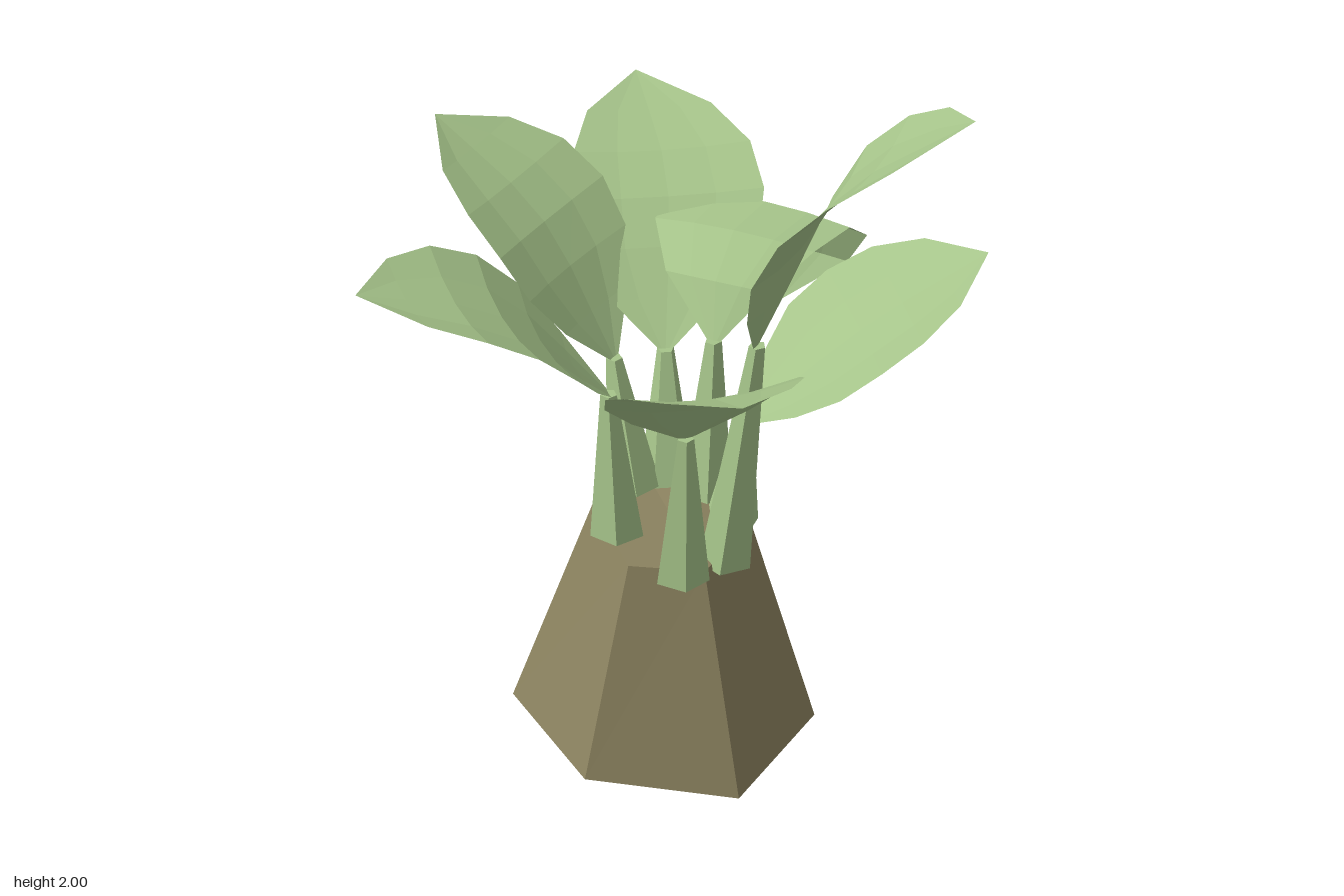
import * as THREE from 'three';

const V = (p) => new THREE.Vector3(...p);
const leafMat = new THREE.MeshStandardMaterial({ color: 0xa6c48a, flatShading: true, side: THREE.DoubleSide });
const stemMat = new THREE.MeshStandardMaterial({ color: 0xa6c48a, flatShading: true });
const trunkMat = new THREE.MeshStandardMaterial({ color: 0x8c8360, flatShading: true });

// Each leaf: spine from stem end to tip, half width, optional sideways direction and cupping
const LEAVES = [
  { name: 'frontLeaf', spine: [[0.03, 1.24, 0.24], [0.11, 1.7, 0.42], [0.25, 2, 0.76]], width: 0.24, side: [-0.48, -0.03, 0.08] },
  { name: 'frontLeftLeaf', spine: [[0.15, 0.9, 0.11], [0.38, 1.13, 0.3], [0.66, 1.29, 0.49]], width: 0.25 },
  { name: 'leftDroopingLeaf', spine: [[0.19, 1.07, -0.02], [0.3, 1.25, -0.08], [0.5, 1.29, -0.1], [0.63, 1.19, -0.11], [0.67, 1.06, -0.13], [0.62, 0.92, -0.14]], width: 0.23, cup: -0.02 },
  { name: 'backLeftLeaf', spine: [[0.15, 1.02, -0.14], [0.4, 1.32, -0.325], [0.6, 1.45, -0.575]], width: 0.24, cup: 0.02 },
  { name: 'backLeaf', spine: [[0.04, 1.02, -0.22], [0.04, 1.35, -0.45], [0.01, 1.55, -0.76]], width: 0.23 },
  { name: 'backRightLeaf', spine: [[-0.14, 1.05, -0.1], [-0.4, 1.36, -0.27], [-0.69, 1.48, -0.48]], width: 0.255 },
  { name: 'frontRightLeaf', spine: [[-0.15, 1.02, 0.15], [-0.36, 1.33, 0.37], [-0.58, 1.53, 0.655]], width: 0.25 },
];
const PROFILE = [0.08, 0.6, 0.93, 1, 0.93, 0.65, 0];

// Blade: a plane swept along the spine, widened by the profile and gently cupped
function makeBlade({ spine, width, side, cup = 0.03 }) {
  const curve = new THREE.CatmullRomCurve3(spine.map(V));
  const along = V(spine.at(-1)).sub(V(spine[0])).setY(0);
  const across = (side ? V(side) : along.cross(new THREE.Vector3(0, 1, 0))).normalize();
  const rows = PROFILE.length - 1;
  const geo = new THREE.PlaneGeometry(1, 1, 4, rows);
  const pos = geo.attributes.position;
  for (let i = 0; i < pos.count; i++) {
    const s = pos.getX(i) * 2;
    const t = Math.min(1, Math.max(0, pos.getY(i) + 0.5));
    const w = PROFILE[Math.round(t * rows)];
    const up = across.clone().cross(curve.getTangentAt(t));
    const p = curve.getPointAt(t)
      .addScaledVector(across, s * w * width)
      .addScaledVector(up, cup * s * s * w);
    pos.setXYZ(i, p.x, p.y, p.z);
  }
  geo.computeVertexNormals();
  return new THREE.Mesh(geo, leafMat);
}

// Stem: five-sided taper from the trunk rim to the start of the blade
function makeStem({ spine }) {
  const end = V(spine[0]);
  const foot = end.clone().setY(0).setLength(0.15);
  foot.y = 0.62 + 0.15 * foot.x - 0.38 * foot.z;
  const axis = end.clone().sub(foot);
  const geo = new THREE.CylinderGeometry(0.022, 0.07, 1, 5, 2);
  geo.rotateY(Math.atan2(foot.x, foot.z));
  const pos = geo.attributes.position;
  for (let i = 0; i < pos.count; i++) {
    const t = pos.getY(i) + 0.5;
    const c = foot.clone().addScaledVector(axis, t);
    pos.setXYZ(i, c.x + pos.getX(i), c.y, c.z + pos.getZ(i));
  }
  geo.computeVertexNormals();
  return new THREE.Mesh(geo, stemMat);
}

// Trunk: tilted six-sided taper, closed at both ends
function makeTrunk() {
  const foot = [[-0.14, 0, 0.31], [0.24, 0.035, 0.26], [0.39, 0.1, -0.08], [0.16, 0.13, -0.39], [-0.22, 0.1, -0.34], [-0.37, 0.055, 0]];
  const rim = [[-0.07, 0.58, 0.15], [0.15, 0.6, 0.13], [0.2, 0.71, -0.05], [0.1, 0.71, -0.2], [-0.1, 0.67, -0.18], [-0.19, 0.6, 0]];
  const rings = [[[0.01, 0.07, -0.04]], foot, rim, [[0.01, 0.645, -0.02]]];
  const verts = [];
  for (let r = 0; r < rings.length - 1; r++) {
    for (let i = 0; i < 6; i++) {
      const at = (ring, k) => ring[k % ring.length];
      const a = at(rings[r], i), b = at(rings[r], i + 1);
      const c = at(rings[r + 1], i + 1), d = at(rings[r + 1], i);
      if (a !== b) verts.push(...a, ...b, ...c);
      if (c !== d) verts.push(...a, ...c, ...d);
    }
  }
  const geo = new THREE.BufferGeometry();
  geo.setAttribute('position', new THREE.Float32BufferAttribute(verts, 3));
  geo.computeVertexNormals();
  return new THREE.Mesh(geo, trunkMat);
}

export function createModel() {
  const model = new THREE.Group();
  model.name = 'leafyPlant';
  const trunk = makeTrunk();
  trunk.name = 'trunk';
  model.add(trunk);
  for (const leaf of LEAVES) {
    const group = new THREE.Group();
    group.name = leaf.name;
    const blade = makeBlade(leaf);
    blade.name = 'blade';
    const stem = makeStem(leaf);
    stem.name = 'stem';
    group.add(blade, stem);
    model.add(group);
  }
  return model;
}
